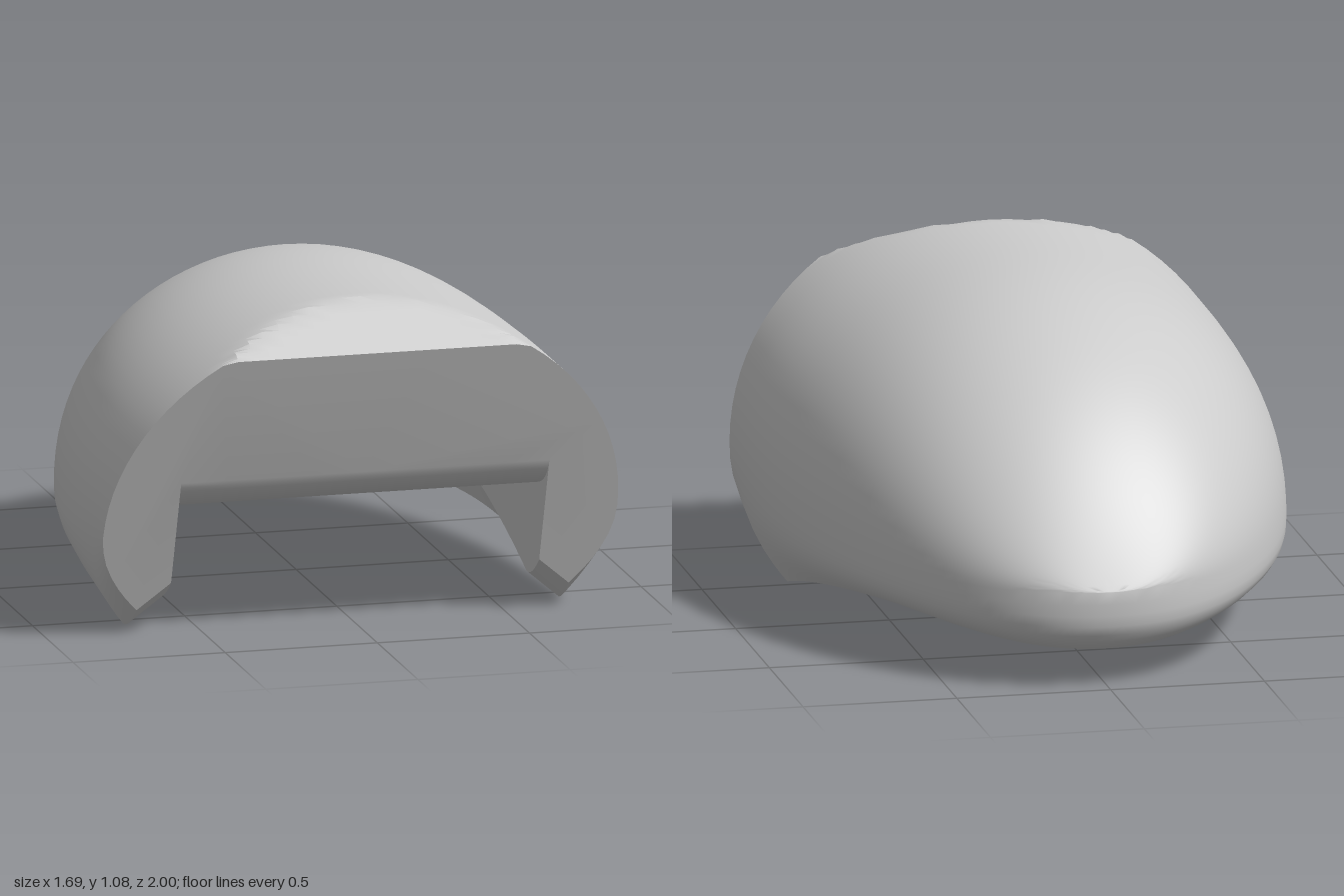
import * as THREE from 'three';
import { toCreasedNormals } from 'three/addons/utils/BufferGeometryUtils.js';

const STATIONS = 56, ARC = 22, LOWER = 8, CEIL = 4;
const SLOPE = 0.353; // lean of the flat front face

// Height of the lower rim along z
function rimHeight(z) {
  if (z < -0.45) return 0.165 - 0.045 * ((z + 0.45) / 0.43) ** 2;
  if (z < 0.55) return 0.165 * (1 - (z + 0.45) ** 1.6);
  return 0.1 * ((z - 0.55) / 0.14) ** 2;
}

// Height of the ridge along z
function ridgeHeight(z, base) {
  const t = THREE.MathUtils.clamp((0.5 - z) / 1.5, 0, 1);
  return base + (1.085 - base) * (1 - t ** 3.1);
}

// Half a cross-section, from the ridge round the rim to the middle of the ceiling
function halfSection(s) {
  const k = (s + 1) / 1.79; // 1 at the front, 0 at the rear
  const lean = SLOPE * k;
  const base = 0.32 + 0.03 * k;
  const points = [];
  const add = (x, y, z) => points.push(new THREE.Vector3(x, y, z + lean * (y - 0.35)));

  // Outline seen from above and its outward normal
  const n = 2.13;
  const t = THREE.MathUtils.clamp((0.65 - s) / 1.65, 0, 1);
  const f = (1 - t ** n) ** (1 / n);
  const w = 0.845 * f;
  const normal = new THREE.Vector2(f ** (n - 1) / 0.845, -(t ** (n - 1)) / 1.65).normalize();
  const inset = (d) => [Math.max(0, w - normal.x * d), s - normal.y * d];

  // Dome, cut by the sloping bevel above the front face
  const top = ridgeHeight(s + lean * 0.7, base);
  const bevel = (0.95 + 0.658 * (1 - s + lean * 0.35)) / (1 + 0.658 * lean);
  for (let j = 0; j <= ARC; j++) {
    const a = (j / ARC) * Math.PI / 2;
    add(w * Math.sin(a), Math.min(bevel, base + (top - base) * Math.cos(a)), s);
  }

  // Outer wall turning in towards the rim
  const rimInset = 0.09 + 0.045 * k;
  const [, rimZ] = inset(rimInset);
  const rimY = rimHeight(rimZ - 0.115 * k);
  for (let j = 1; j <= LOWER; j++) {
    const q = Math.sin((j / LOWER) * Math.PI / 2);
    const [x, z] = inset(rimInset * q ** (5 - 3 * k));
    add(x, THREE.MathUtils.lerp(base, rimY, q), z);
  }

  // Sloping rim, upright inner wall and ceiling with a rounded front lip
  const [ix, iz] = inset(0.15 + 0.09 * k ** 1.5);
  const innerX = Math.min(0.605, ix);
  add(innerX, rimY + 0.145 - 0.055 * k, iz);
  const e = THREE.MathUtils.clamp((s - 0.58) / 0.21, 0, 1);
  const lip = 0.14 * (1 - Math.sqrt(1 - e * e));
  const ceilY = 0.44 - 0.026 * ((iz + lean * 0.1 - 0.1) / 0.5) ** 2 + lip;
  for (let j = 0; j <= CEIL; j++) add(innerX * (1 - j / CEIL), ceilY, iz);
  return points;
}

function shellGeometry() {
  const positions = [], index = [], rings = [];
  for (let i = 0; i <= STATIONS; i++) {
    const s = -1 + 1.79 * (1 + Math.cos((i / STATIONS) * Math.PI)) / 2;
    const half = halfSection(s);
    const mirrored = half.slice(1, -1).reverse().map((p) => new THREE.Vector3(-p.x, p.y, p.z));
    rings.push([...half, ...mirrored]);
  }
  const count = rings[0].length;
  rings.flat().forEach((p) => positions.push(p.x, p.y, p.z));

  // Skin between neighbouring sections
  for (let i = 0; i < STATIONS; i++) {
    for (let j = 0; j < count; j++) {
      const a = i * count + j, b = i * count + (j + 1) % count;
      index.push(a, b, a + count, b, b + count, a + count);
    }
  }

  // Flat front face
  const face = rings[0].map((p) => new THREE.Vector2(p.x, p.y)).reverse();
  for (const [a, b, c] of THREE.ShapeUtils.triangulateShape(face, [])) {
    index.push(count - 1 - a, count - 1 - b, count - 1 - c);
  }

  const geometry = new THREE.BufferGeometry();
  geometry.setAttribute('position', new THREE.Float32BufferAttribute(positions, 3));
  geometry.setIndex(index);
  return toCreasedNormals(geometry, 0.45);
}

export function createModel() {
  const group = new THREE.Group();
  group.name = 'domedCover';
  const shell = new THREE.Mesh(shellGeometry(), new THREE.MeshStandardMaterial({ color: 0xcccccc }));
  shell.name = 'shell';
  group.add(shell);
  return group;
}
